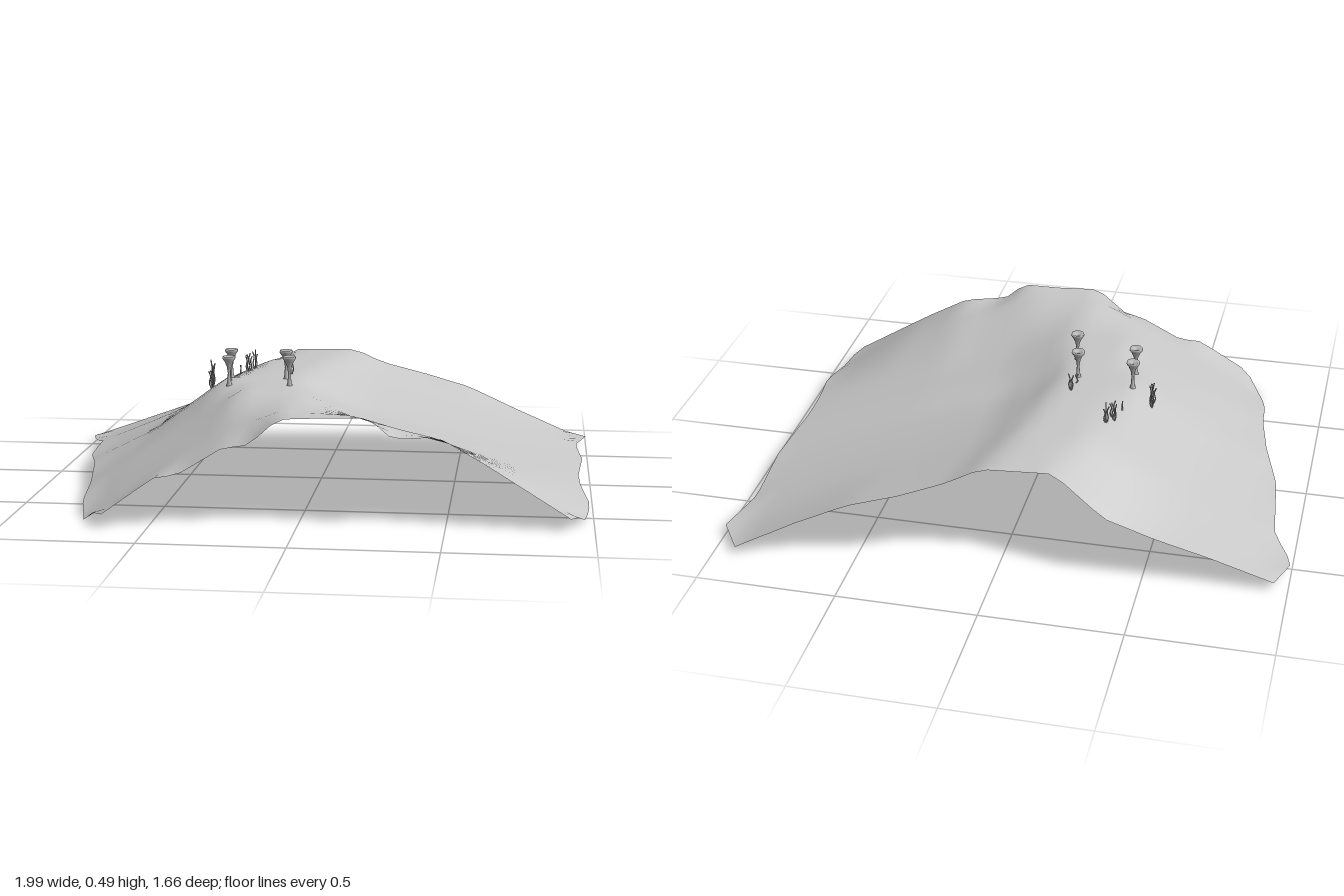
import * as THREE from 'three';

// Piecewise-linear lookup through [position, value] pairs
function lookup(pairs, p) {
  if (p <= pairs[0][0]) return pairs[0][1];
  for (let i = 1; i < pairs.length; i++) {
    const [a, va] = pairs[i - 1], [b, vb] = pairs[i];
    if (p <= b) return va + (vb - va) * (p - a) / (b - a);
  }
  return pairs[pairs.length - 1][1];
}

// Ragged outline of the land: z along the back and front, x along the sides
const backEdge = [[-0.95, -0.64], [-0.72, -0.655], [-0.38, -0.70], [-0.17, -0.67], [0.12, -0.70],
  [0.34, -0.76], [0.71, -0.79], [0.92, -0.835]];
const frontEdge = [[-0.65, 0.83], [-0.4, 0.775], [-0.25, 0.75], [-0.12, 0.77], [0.1, 0.735],
  [0.34, 0.725], [0.47, 0.68], [0.92, 0.68]];
const leftEdge = [[0, -0.95], [0.09, -1], [0.2, -0.92], [0.41, -0.89], [0.55, -0.83], [0.71, -0.79],
  [0.82, -0.78], [0.92, -0.74], [1, -0.65]];
const rightEdge = [[0, 0.92], [0.08, 1], [0.21, 0.955], [0.4, 0.975], [0.6, 0.955], [0.7, 0.96],
  [0.815, 0.99], [0.91, 0.975], [1, 0.92]];

// Height profiles across x, from back to front
const profiles = [
  [0, [[-0.95, 0.03], [-0.55, 0.17], [-0.36, 0.25], [-0.19, 0.38], [0.06, 0.38],
    [0.17, 0.325], [0.52, 0.22], [0.92, 0.03]]],
  [0.2, [[-0.96, 0.03], [-0.6, 0.18], [-0.42, 0.30], [-0.25, 0.38], [-0.01, 0.38],
    [0.13, 0.31], [0.45, 0.21], [0.96, 0.04]]],
  [0.5, [[-0.87, 0.06], [-0.63, 0.18], [-0.48, 0.29], [-0.36, 0.38], [-0.07, 0.38],
    [0, 0.33], [0.15, 0.26], [0.47, 0.18], [0.97, 0.05]]],
  [0.7, [[-0.8, 0.05], [-0.45, 0.26], [-0.26, 0.38], [-0.03, 0.38], [0.2, 0.28], [0.47, 0.2], [0.96, 0.05]]],
  [0.92, [[-0.74, 0], [-0.45, 0.19], [-0.25, 0.31], [-0.07, 0.38], [0.18, 0.365],
    [0.47, 0.28], [0.7, 0.175], [0.975, 0.005]]],
  [1, [[-0.65, 0.05], [-0.48, 0.17], [-0.4, 0.18], [-0.25, 0.27], [-0.16, 0.285],
    [-0.06, 0.375], [0.24, 0.38], [0.32, 0.31], [0.47, 0.31], [0.63, 0.22], [0.92, 0.04]]],
];

function heightAt(x, t) {
  return lookup(profiles.map(([row, profile]) => [row, lookup(profile, x)]), t);
}

// One open sheet of ground, bent to the outline and the profiles
function buildGround(material) {
  const geo = new THREE.PlaneGeometry(1, 1, 36, 25);
  const pos = geo.attributes.position;
  for (let i = 0; i < pos.count; i++) {
    const s = pos.getX(i) + 0.5, t = 0.5 - pos.getY(i);
    const x = THREE.MathUtils.lerp(lookup(leftEdge, t), lookup(rightEdge, t), s);
    const z = THREE.MathUtils.lerp(lookup(backEdge, x), lookup(frontEdge, x), t);
    pos.setXYZ(i, x, heightAt(x, t), z);
  }
  geo.computeVertexNormals();
  const mesh = new THREE.Mesh(geo, material);
  mesh.name = 'ground';
  return mesh;
}

export function createModel() {
  const model = new THREE.Group();
  model.name = 'hillWithPlants';
  const groundGrey = new THREE.MeshStandardMaterial({ color: 0xc8c8c8, side: THREE.DoubleSide });
  groundGrey.name = 'groundGrey';
  const plantGrey = new THREE.MeshStandardMaterial({ color: 0xb8b8b8, side: THREE.DoubleSide });
  plantGrey.name = 'plantGrey';
  model.add(buildGround(groundGrey));

  const baseAt = (x, z) => heightAt(x, (z + 0.68) / 1.43) - 0.005;

  // Trumpet-shaped plants with a slender stem and a flared cap
  const trumpetProfile = [[0.012, 0], [0.007, 0.02], [0.005, 0.05], [0.008, 0.072], [0.016, 0.092],
    [0.025, 0.105], [0.023, 0.113], [0.012, 0.108], [0, 0.102]].map(([r, y]) => new THREE.Vector2(r, y));
  const trumpetGeo = new THREE.LatheGeometry(trumpetProfile, 10);
  for (const [x, z] of [[-0.34, -0.01], [-0.33, 0.11], [-0.13, 0.02], [-0.1, 0.155]]) {
    const trumpet = new THREE.Mesh(trumpetGeo, plantGrey);
    trumpet.name = 'trumpetPlant';
    trumpet.position.set(x, baseAt(x, z), z);
    model.add(trumpet);
  }

  // Tufts of thin curling fronds: x, z, height, number of fronds
  const tufts = [[-0.315, -0.235, 0.075, 3], [-0.29, -0.265, 0.08, 3], [-0.305, -0.22, 0.07, 2],
    [-0.42, -0.055, 0.11, 4], [-0.42, -0.03, 0.09, 3], [-0.125, -0.085, 0.07, 3],
    [-0.33, -0.165, 0.04, 1], [-0.13, -0.03, 0.04, 1], [-0.33, 0.055, 0.055, 1]];
  tufts.forEach(([x, z, h, count], n) => {
    const tuft = new THREE.Group();
    tuft.name = 'frondTuft';
    tuft.position.set(x, baseAt(x, z), z);
    for (let i = 0; i < count; i++) {
      const a = n * 1.3 + i * Math.PI * 2 / count;
      const c = Math.cos(a), s = Math.sin(a), tall = h * (1 - 0.12 * i);
      const path = new THREE.CatmullRomCurve3([
        new THREE.Vector3(0, 0, 0),
        new THREE.Vector3(c * 0.009, tall * 0.35, s * 0.009),
        new THREE.Vector3(c * 0.004, tall * 0.7, s * 0.004),
        new THREE.Vector3(c * 0.011, tall, s * 0.011),
      ]);
      const frond = new THREE.Mesh(new THREE.TubeGeometry(path, 8, 0.0025, 5), plantGrey);
      frond.name = 'frond';
      tuft.add(frond);
    }
    model.add(tuft);
  });
  return model;
}
